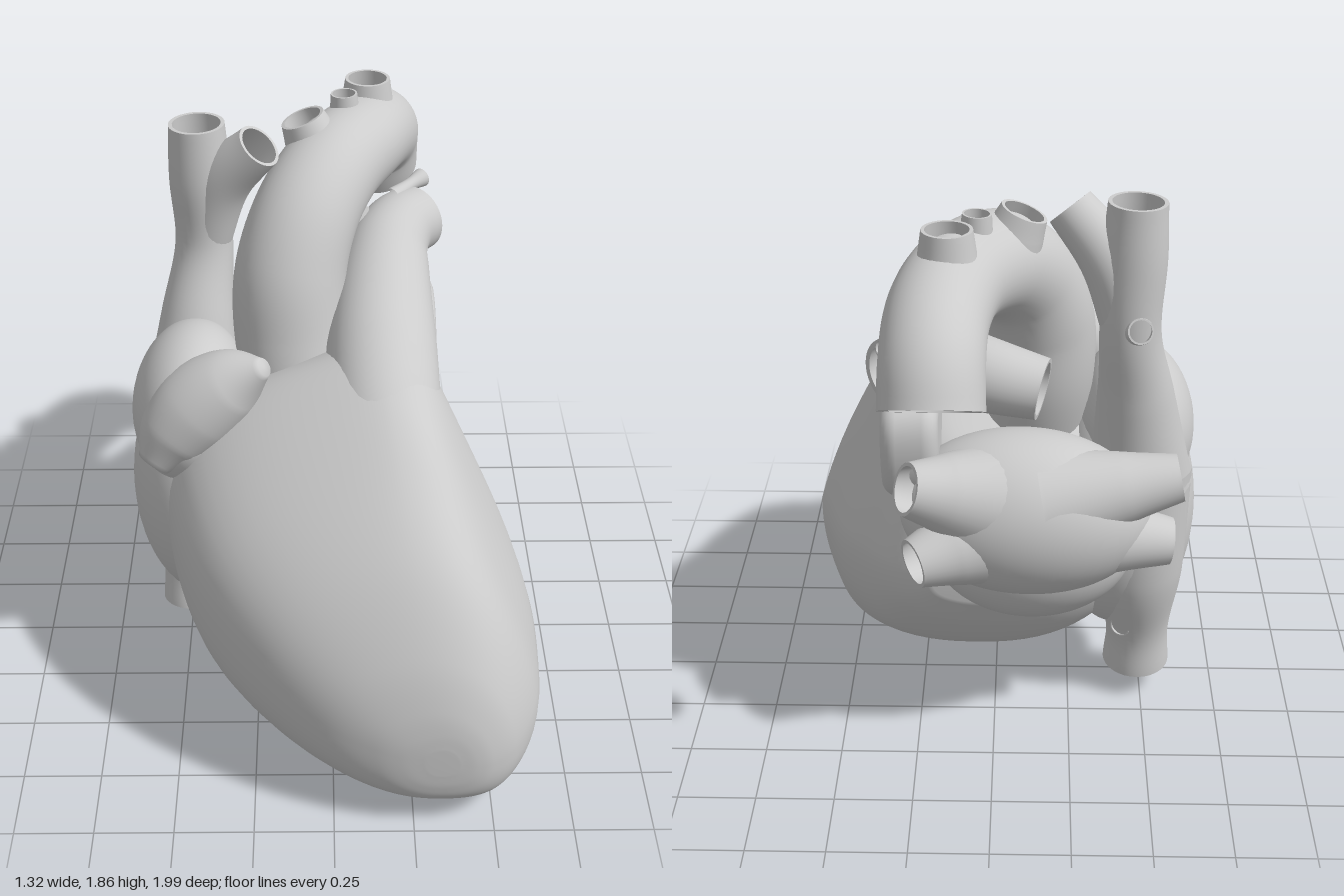
import * as THREE from 'three';
import { mergeVertices } from 'three/addons/utils/BufferGeometryUtils.js';

const V = (p) => new THREE.Vector3(...p);

// Skin a list of equal closed rings, running counter-clockwise around the direction of travel
function skin(rings) {
  const n = rings[0].length, pos = [], idx = [];
  for (const ring of rings) for (const p of ring) pos.push(p.x, p.y, p.z);
  for (let i = 0; i < rings.length - 1; i++) {
    for (let j = 0; j < n; j++) {
      const a = i * n + j, b = i * n + (j + 1) % n;
      idx.push(a, b, a + n, b, b + n, a + n);
    }
  }
  const g = new THREE.BufferGeometry();
  g.setAttribute('position', new THREE.Float32BufferAttribute(pos, 3));
  g.setIndex(idx);
  g.computeVertexNormals();
  return g;
}

// Sweep of changing radius; open sweeps end in a rim and a hollow bore
function sweep(points, radii, open = true, steps = 36, sides = 32) {
  const path = new THREE.CatmullRomCurve3(points.map(V));
  const width = new THREE.CatmullRomCurve3(radii.map((r) => V([r, 0, 0])), false, 'catmullrom');
  const frames = path.computeFrenetFrames(steps, false);
  const ring = (i, k) => {
    const u = i / steps, c = path.getPointAt(u);
    const r = k * Math.max(0, width.getPoint(path.getUtoTmapping(u)).x);
    return Array.from({ length: sides }, (_, j) => {
      const a = (j / sides) * Math.PI * 2;
      return c.clone().addScaledVector(frames.normals[i], r * Math.cos(a))
        .addScaledVector(frames.binormals[i], r * Math.sin(a));
    });
  };
  const rings = [];
  if (!open) rings.push(ring(0, 0));
  for (let i = 0; i <= steps; i++) rings.push(ring(i, 1));
  if (open) {
    rings.push(ring(steps, 1), ring(steps, 0.86));
    for (let i = steps; i >= 4; i--) rings.push(ring(i, 0.86));
    rings.push(ring(4, 0));
  } else rings.push(ring(steps, 0));
  return skin(rings);
}

// Ventricles: sections from back to front
// [z, left x, right x, bottom x, top x, bottom y, top y, middle y]
const SECTIONS = [
  [-0.36, -0.12, 0.2, 0.03, 0.08, 0.5, 0.76, 0.62],
  [-0.28, -0.32, 0.33, 0.02, 0.1, 0.36, 0.94, 0.63],
  [-0.15, -0.46, 0.43, 0.05, 0.17, 0.21, 1.08, 0.62],
  [0, -0.52, 0.53, 0.12, 0.17, 0.12, 1.2, 0.61],
  [0.2, -0.54, 0.6, 0.25, 0.17, 0.055, 1.29, 0.6],
  [0.4, -0.5, 0.645, 0.33, 0.18, 0.02, 1.21, 0.54],
  [0.6, -0.405, 0.655, 0.36, 0.21, 0.005, 1.06, 0.47],
  [0.8, -0.22, 0.635, 0.35, 0.25, 0.03, 0.86, 0.4],
  [0.93, -0.02, 0.56, 0.34, 0.28, 0.08, 0.63, 0.33],
  [0.98, 0.12, 0.49, 0.33, 0.31, 0.13, 0.48, 0.3],
  [0.995, 0.2, 0.44, 0.33, 0.33, 0.18, 0.4, 0.29],
  [1, 0.28, 0.38, 0.33, 0.33, 0.24, 0.34, 0.29],
];

function ventricleGeometry() {
  const sides = 72, steps = 80;
  // the lower half is squarer than an ellipse
  const square = (v) => Math.sign(v) * Math.abs(v) ** 0.82;
  const columns = Array.from({ length: sides }, (_, j) => {
    const a = (j / sides) * Math.PI * 2, low = Math.sin(a) < 0;
    const c = low ? square(Math.cos(a)) : Math.cos(a), s = low ? square(Math.sin(a)) : Math.sin(a);
    const pts = SECTIONS.map(([z, xl, xr, xb, xt, yb, yt, ym]) => {
      const mid = (xl + xr) / 2, half = (xr - xl) / 2;
      const narrow = low ? 0 : THREE.MathUtils.clamp((yt - 0.6) / 0.6, 0, 1);
      const pinch = 1 - narrow * (c > 0 ? 0.3 * s : 0.48 * s ** 3);
      const x = mid + half * c * pinch + s ** 4 * ((low ? xb : xt) - mid);
      const y = ym + s * (low ? ym - yb : yt - ym) - 0.17 * half * c * (1 - Math.min(1, s * s));
      return new THREE.Vector3(x, y, z);
    });
    return new THREE.CatmullRomCurve3(pts, false, 'centripetal');
  });
  const rings = [];
  for (let i = 0; i <= steps; i++) rings.push(columns.map((k) => k.getPoint(i / steps)));
  const centre = (ring) => {
    const m = ring.reduce((t, p) => t.add(p), new THREE.Vector3()).divideScalar(sides);
    return ring.map(() => m);
  };
  return skin([centre(rings[0]), ...rings, centre(rings[steps])]);
}

// Left auricle: a soft-edged flap, drawn in (-z, y) and thickened along x
function flapGeometry() {
  const outline = [[0.05, 1.05], [0.13, 1.14], [0.25, 1.195], [0.38, 1.17], [0.39, 1.03],
    [0.34, 0.935], [0.21, 0.945], [0.13, 1.0]];
  const curve = new THREE.CatmullRomCurve3(outline.map(([x, y]) => V([x, y, 0])), true);
  const shape = new THREE.Shape(curve.getPoints(48).slice(0, -1).reverse()
    .map((p) => new THREE.Vector2(p.x, p.y)));
  let g = new THREE.ExtrudeGeometry(shape, {
    depth: 0.08, bevelEnabled: true, bevelSize: 0.045, bevelThickness: 0.05, bevelSegments: 6,
  });
  g.deleteAttribute('uv');
  g.deleteAttribute('normal');
  g = mergeVertices(g, 1e-4);
  g.computeVertexNormals();
  return g.rotateY(Math.PI / 2).translate(0.22, 0, 0);
}

export function createModel() {
  const group = new THREE.Group();
  const tissue = new THREE.MeshStandardMaterial({ color: 0xcccccc });
  tissue.name = 'pale grey tissue';
  const add = (name, geometry) => {
    const mesh = new THREE.Mesh(geometry, tissue);
    mesh.name = name;
    group.add(mesh);
    return mesh;
  };
  const blob = (name, centre, radii, tilt = 0) => {
    const mesh = add(name, new THREE.SphereGeometry(1, 48, 32));
    mesh.position.set(...centre);
    mesh.scale.set(...radii);
    mesh.rotation.z = tilt;
  };

  add('ventricles', ventricleGeometry());

  // Atria and their ear-like pouches
  blob('rightAtrium', [-0.42, 0.68, 0.01], [0.245, 0.45, 0.3]);
  blob('rightAtriumRoof', [-0.46, 0.99, 0.03], [0.19, 0.26, 0.3], -0.15);
  blob('leftAtrium', [-0.1, 0.84, -0.35], [0.4, 0.27, 0.25], 0.06);
  blob('leftAtriumFloor', [-0.12, 0.69, -0.285], [0.33, 0.25, 0.225]);
  add('rightAuricle', sweep(
    [[-0.57, 0.9, 0.27], [-0.51, 0.98, 0.235], [-0.42, 1.08, 0.21], [-0.31, 1.18, 0.225], [-0.21, 1.255, 0.265]],
    [0.055, 0.115, 0.14, 0.11, 0.03], false));
  add('leftAuricle', flapGeometry());

  // Great arteries
  add('aorta', sweep(
    [[-0.1, 0.95, 0.02], [-0.13, 1.2, -0.05], [-0.13, 1.4, -0.09], [-0.08, 1.565, -0.17], [0.0, 1.66, -0.3],
      [0.1, 1.68, -0.48], [0.15, 1.64, -0.66], [0.16, 1.555, -0.8], [0.16, 1.442, -0.86]],
    [0.17, 0.185, 0.18, 0.17, 0.16, 0.15, 0.15, 0.15, 0.152], true, 64, 40));
  add('pulmonaryTrunk', sweep(
    [[0.18, 0.88, 0.44], [0.165, 1.06, 0.29], [0.16, 1.2, 0.1], [0.165, 1.28, -0.06], [0.175, 1.335, -0.2],
      [0.19, 1.365, -0.32], [0.235, 1.385, -0.435], [0.295, 1.385, -0.505]],
    [0.16, 0.18, 0.178, 0.165, 0.15, 0.135, 0.12, 0.112], true, 60, 40));
  add('rightPulmonaryArtery', sweep(
    [[0.19, 1.36, -0.33], [0.03, 1.35, -0.42], [-0.15, 1.32, -0.46]], [0.125, 0.115, 0.095]));
  add('arterialLigament', sweep([[0.21, 1.485, -0.46], [0.27, 1.495, -0.53], [0.315, 1.5, -0.58]], [0.03, 0.022, 0.032]));

  // Three stubs on top of the arch: [x, z, top, radius, sideways lean]
  for (const [x, z, top, r, lean] of [
    [-0.09, -0.325, 1.83, 0.072, 0.06], [0.045, -0.44, 1.865, 0.043, 0.01], [0.125, -0.57, 1.865, 0.074, 0]]) {
    add('archBranch', sweep([[x + lean, 1.68, z], [x + lean * 0.4, 1.77, z], [x, top, z]], [r * 1.5, r * 1.2, r]));
  }

  // Great veins
  add('upperVein', sweep(
    [[-0.47, 0.85, -0.13], [-0.44, 1.2, -0.21], [-0.415, 1.42, -0.26], [-0.42, 1.66, -0.26], [-0.425, 1.84, -0.26]],
    [0.17, 0.12, 0.095, 0.1, 0.09]));
  add('upperVeinBranch', sweep(
    [[-0.41, 1.42, -0.26], [-0.345, 1.65, -0.24], [-0.225, 1.795, -0.185]], [0.08, 0.092, 0.076]));
  add('backVeinStub', sweep([[-0.42, 1.45, -0.28], [-0.435, 1.46, -0.34], [-0.44, 1.47, -0.37]], [0.05, 0.045, 0.04]));
  add('lowerVein', sweep(
    [[-0.47, 0.9, -0.13], [-0.475, 0.5, -0.12], [-0.485, 0.26, -0.09], [-0.485, 0.105, -0.07]],
    [0.17, 0.15, 0.107, 0.113]));
  add('lowerVeinStub', sweep([[-0.46, 0.3, -0.12], [-0.43, 0.3, -0.17], [-0.42, 0.3, -0.19]], [0.045, 0.04, 0.035]));

  // Lung veins, two on each side, flaring into the left atrium: [end point, radius, root]
  for (const [end, r, root] of [
    [[0.265, 1.01, -0.525], 0.083, [0.0, 0.91, -0.4]],
    [[0.245, 0.765, -0.555], 0.078, [-0.02, 0.8, -0.4]],
    [[-0.58, 0.99, -0.395], 0.075, [-0.16, 0.91, -0.41]],
    [[-0.56, 0.75, -0.375], 0.075, [-0.16, 0.8, -0.4]],
  ]) {
    const mid = root.map((v, i) => v * 0.4 + end[i] * 0.6);
    add('lungVein', sweep([root, mid, end], [r * 2.3, r * 1.5, r]));
  }
  return group;
}
